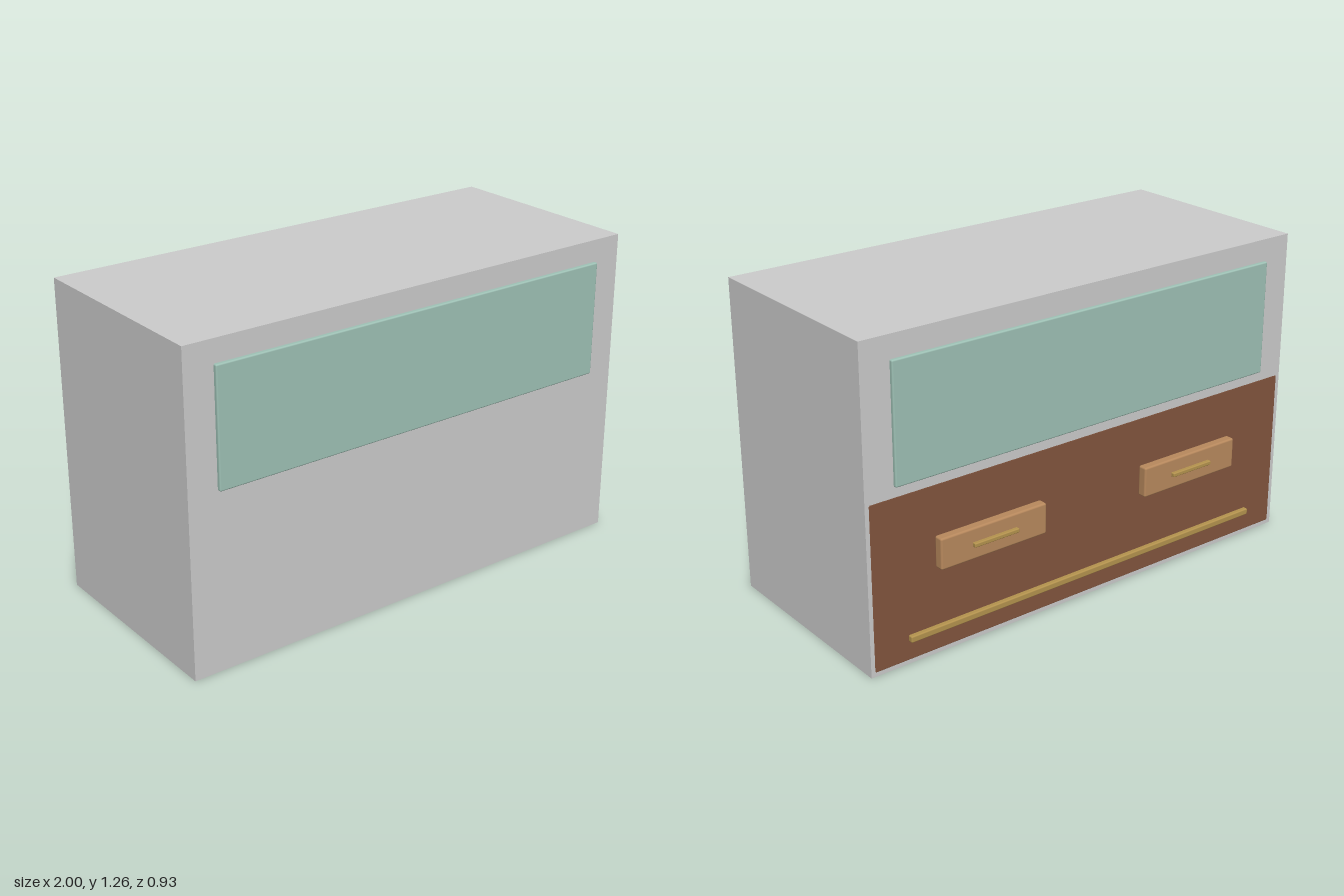
import * as THREE from 'three';
import { RoundedBoxGeometry } from 'three/addons/geometries/RoundedBoxGeometry.js';

const material = (color) => new THREE.MeshStandardMaterial({ color });

export function createModel() {
  const group = new THREE.Group();
  const grey = material(0xcccccc);
  const darkWood = material(0x82553e);
  const lightWood = material(0xb8895d);
  const glass = material(0x9ec1b5);
  const brass = material(0xb4934e);

  // Adds a box spanning the given ranges, with softened edges if bevel > 0.
  function addBox(name, mat, [x0, x1], [y0, y1], [z0, z1], bevel = 0) {
    const size = [x1 - x0, y1 - y0, z1 - z0];
    const geometry = bevel
      ? new RoundedBoxGeometry(...size, 2, bevel)
      : new THREE.BoxGeometry(...size);
    const mesh = new THREE.Mesh(geometry, mat);
    mesh.name = name;
    mesh.position.set((x0 + x1) / 2, (y0 + y1) / 2, (z0 + z1) / 2);
    group.add(mesh);
  }

  // Outer case
  addBox('case', grey, [-1, 1], [0, 1.262], [-0.41, 0.45]);

  // Wooden lower body, a hair proud of the case on the drawer side
  addBox('lowerBody', darkWood, [-0.999, 0.999], [0.001, 0.685], [-0.411, 0.449], 0.02);

  // Counter top slab within the case
  addBox('counterTop', lightWood, [-0.999, 0.999], [1.18, 1.261], [-0.409, 0.449], 0.015);

  // Glass panes, front and back
  addBox('frontPane', glass, [-0.88, 0.88], [0.71, 1.173], [0.43, 0.465], 0.006);
  addBox('backPane', glass, [-0.88, 0.88], [0.71, 1.173], [-0.424, -0.39], 0.006);

  // Two drawers with pulls on the back
  for (const side of [-1, 1]) {
    const span = (centre, half) => [side * centre - half, side * centre + half];
    addBox('drawer', lightWood, span(0.48, 0.237), [0.35, 0.475], [-0.45, -0.41], 0.008);
    addBox('drawerPull', brass, span(0.48, 0.1), [0.403, 0.42], [-0.465, -0.445], 0.004);
  }

  // Low rail along the back
  addBox('footRail', brass, [-0.84, 0.84], [0.093, 0.119], [-0.432, -0.41], 0.005);

  return group;
}
